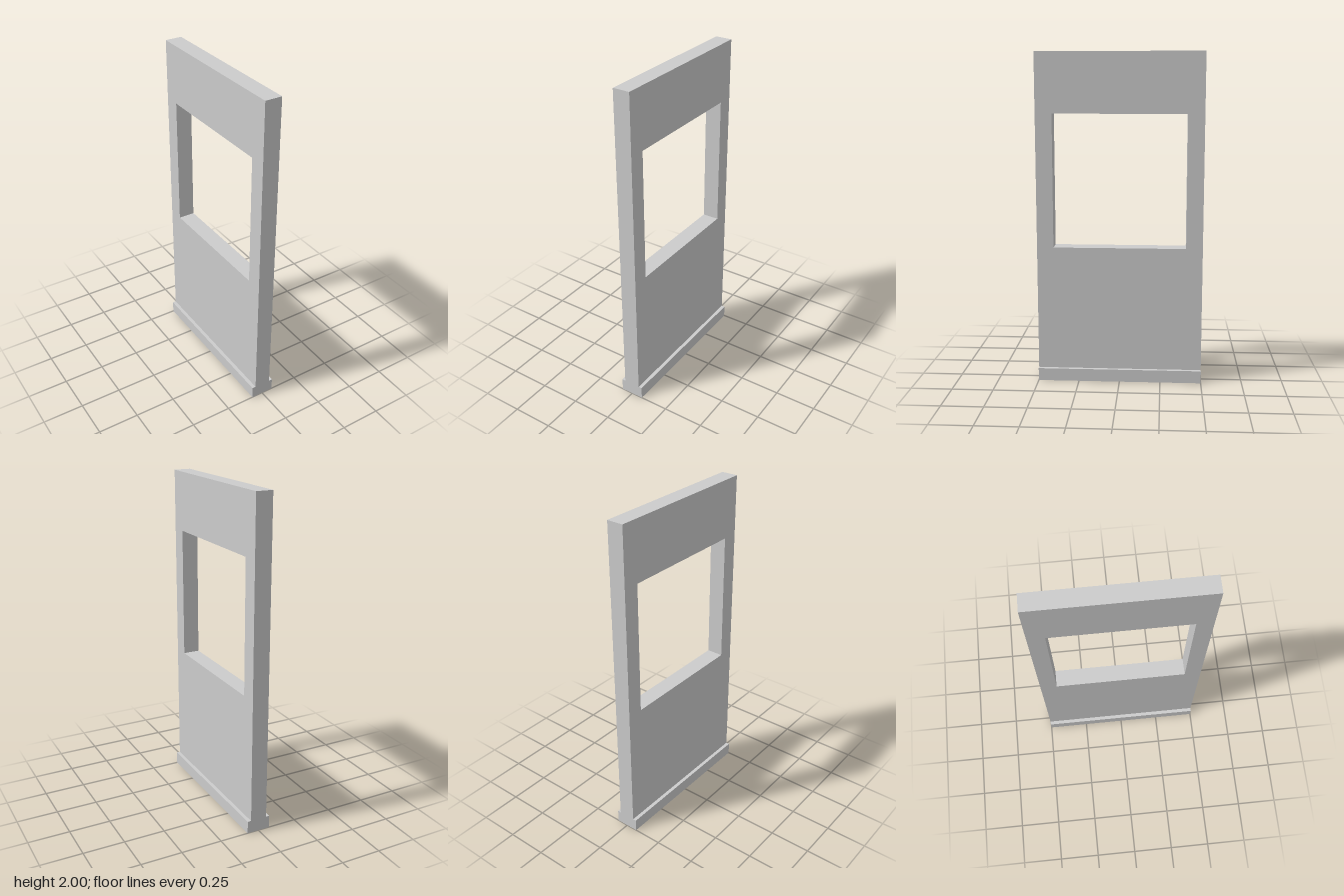
import * as THREE from 'three';

const HEIGHT = 2, HALF_LENGTH = 0.5, HALF_THICK = 0.051;
const SKIRT_HEIGHT = 0.077, SKIRT_OUT = 0.073;
const WINDOW = { half: 0.4, bottom: 0.837, top: 1.64 };

function rectangle(path, half, bottom, top) {
  path.moveTo(-half, bottom);
  path.lineTo(half, bottom);
  path.lineTo(half, top);
  path.lineTo(-half, top);
  path.closePath();
  return path;
}

export function createModel() {
  const group = new THREE.Group();
  group.name = 'windowWall';
  const material = new THREE.MeshStandardMaterial({ color: 0xcccccc });

  // Wall leaf with a window opening, running along z and thick in x
  const outline = rectangle(new THREE.Shape(), HALF_LENGTH, 0, HEIGHT);
  outline.holes.push(rectangle(new THREE.Path(), WINDOW.half, WINDOW.bottom, WINDOW.top));
  const leafGeometry = new THREE.ExtrudeGeometry(outline, { depth: HALF_THICK, bevelEnabled: false });
  leafGeometry.rotateY(Math.PI / 2);

  // Skirting board along the foot of each leaf
  const skirtDepth = SKIRT_OUT - HALF_THICK;
  const skirtGeometry = new THREE.BoxGeometry(skirtDepth, SKIRT_HEIGHT, HALF_LENGTH * 2);
  skirtGeometry.translate(HALF_THICK + skirtDepth / 2, SKIRT_HEIGHT / 2, 0);

  // Two leaves back to back, meeting at x = 0
  for (const [side, turn] of [['left', 0], ['right', Math.PI]]) {
    const half = new THREE.Group();
    half.name = side + 'Half';
    half.rotation.y = turn;
    const leaf = new THREE.Mesh(leafGeometry, material);
    leaf.name = side + 'WallLeaf';
    const skirt = new THREE.Mesh(skirtGeometry, material);
    skirt.name = side + 'Skirting';
    half.add(leaf, skirt);
    group.add(half);
  }
  return group;
}
